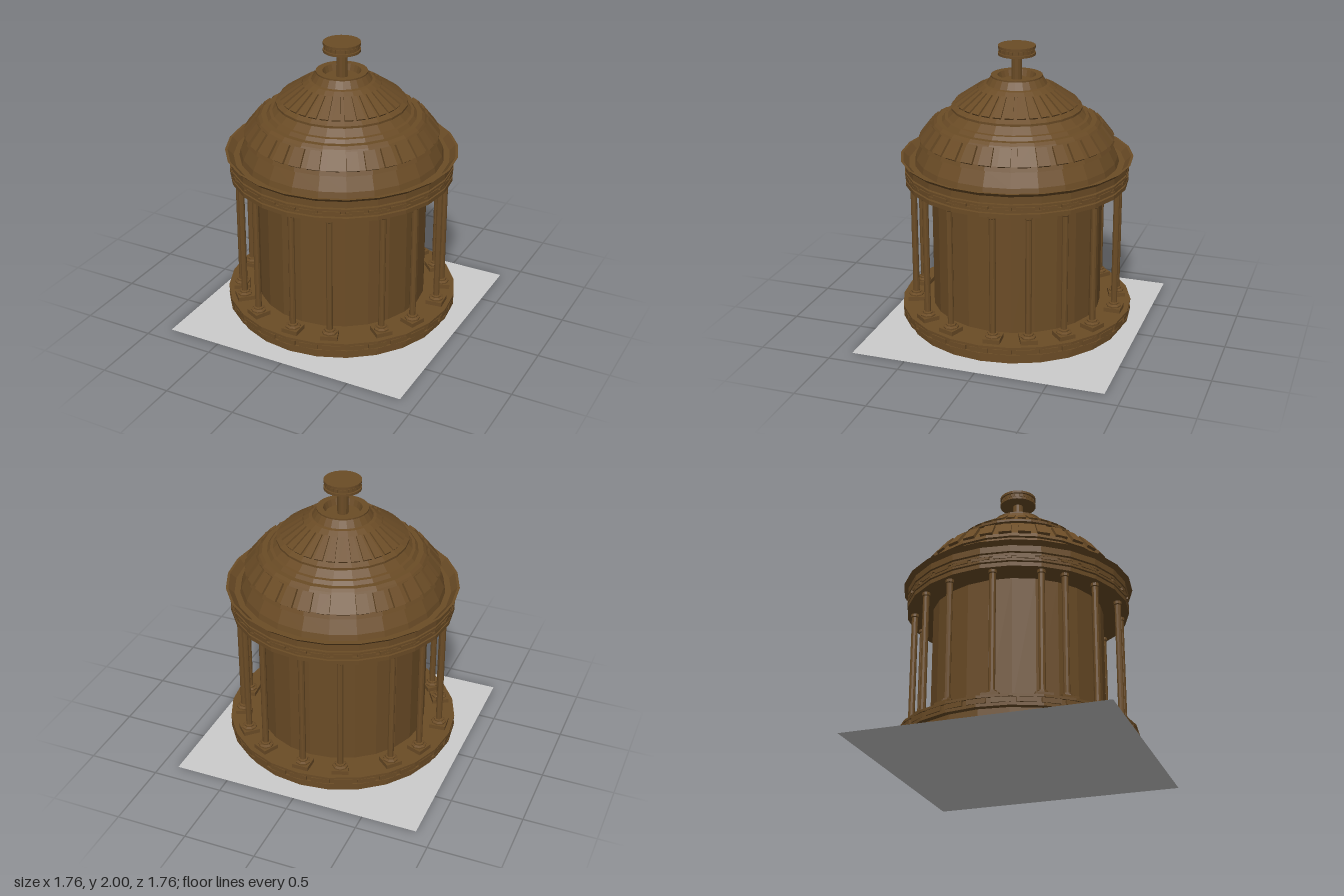
import * as THREE from 'three';

const SIDES = 24;
const wood = new THREE.MeshStandardMaterial({ color: 0x6b4c26, flatShading: true, side: THREE.DoubleSide });
const grey = new THREE.MeshStandardMaterial({ color: 0xcccccc, side: THREE.DoubleSide });

function add(parent, name, geometry, material = wood) {
  const mesh = new THREE.Mesh(geometry, material);
  mesh.name = name;
  parent.add(mesh);
  return mesh;
}

// Turned part from [radius, height] pairs, listed from bottom to top
function turned(parent, name, profile, sides = SIDES) {
  const points = profile.map(([r, y]) => new THREE.Vector2(r, y));
  return add(parent, name, new THREE.LatheGeometry(points, sides));
}

// Ring of tapered panels lying on the slope from [r0, y0] to [r1, y1]
function panelRing(parent, name, count, [r0, y0], [r1, y1], wBottom, wTop, depth) {
  const ring = new THREE.Group();
  ring.name = name + 's';
  const geo = new THREE.BoxGeometry(1, Math.hypot(r1 - r0, y1 - y0), depth);
  const p = geo.attributes.position;
  for (let i = 0; i < p.count; i++) p.setX(i, p.getX(i) * (p.getY(i) > 0 ? wTop : wBottom));
  geo.rotateX(-Math.atan2(r0 - r1, y1 - y0));
  geo.translate(0, (y0 + y1) / 2, (r0 + r1) / 2);
  for (let i = 0; i < count; i++) add(ring, name, geo).rotation.y = (i / count) * Math.PI * 2;
  parent.add(ring);
}

export function createModel() {
  const model = new THREE.Group();
  model.name = 'rotunda';

  // Flat ground sheet
  add(model, 'groundSheet', new THREE.PlaneGeometry(1.765, 1.765).rotateX(-Math.PI / 2), grey);

  // Stepped base with a panelled band
  turned(model, 'base', [
    [0, 0.03], [0.768, 0.03], [0.768, 0.09], [0.808, 0.09], [0.808, 0.11],
    [0.795, 0.11], [0.795, 0.148], [0.808, 0.148], [0.808, 0.165], [0, 0.165],
  ]);
  panelRing(model, 'basePanel', 32, [0.793, 0.113], [0.793, 0.145], 0.125, 0.125, 0.02);

  // Inner drum
  add(model, 'drum', new THREE.CylinderGeometry(0.59, 0.59, 0.9, SIDES, 1, true)).position.y = 0.615;

  // Colonnade, slightly unevenly spaced (degrees from the front)
  const angles = [0, 21, 49.5, 70, 95.5, 114.5, 134.5, 154, 180, 201, 229.5, 250, 275.5, 301, 314, 334];
  const colonnade = new THREE.Group();
  colonnade.name = 'colonnade';
  for (const angle of angles) {
    const column = new THREE.Group();
    column.name = 'column';
    const a = THREE.MathUtils.degToRad(angle);
    column.position.set(Math.sin(a) * 0.712, 0, Math.cos(a) * 0.712);
    column.rotation.y = a;
    add(column, 'plinth', new THREE.BoxGeometry(0.115, 0.03, 0.115)).position.y = 0.18;
    turned(column, 'pedestal', [
      [0.052, 0.195], [0.052, 0.205], [0.035, 0.212], [0.035, 0.222], [0.02, 0.225],
    ], 8);
    turned(column, 'shaft', [
      [0.022, 0.22], [0.022, 1.035], [0.028, 1.04], [0.028, 1.065],
    ], 10);
    colonnade.add(column);
  }
  model.add(colonnade);

  // Entablature: ceiling, grooved bands and flared gutter rim
  turned(model, 'entablature', [
    [0, 1.06], [0.768, 1.06], [0.768, 1.088], [0.745, 1.088], [0.745, 1.1],
    [0.768, 1.1], [0.768, 1.115], [0.758, 1.115], [0.758, 1.137], [0.768, 1.137],
    [0.768, 1.152], [0.745, 1.152], [0.745, 1.165], [0.768, 1.165], [0.768, 1.208],
    [0.797, 1.235], [0.78, 1.235], [0.74, 1.195], [0.67, 1.195],
  ]);
  panelRing(model, 'friezePanel', 32, [0.756, 1.117], [0.756, 1.135], 0.12, 0.12, 0.02);

  // Stepped dome with a hollow crown
  turned(model, 'dome', [
    [0.7, 1.195], [0.69, 1.235], [0.64, 1.335], [0.665, 1.335], [0.652, 1.365],
    [0.565, 1.475], [0.545, 1.492], [0.51, 1.492], [0.49, 1.515], [0.47, 1.518],
    [0.415, 1.57], [0.445, 1.57], [0.445, 1.585], [0.43, 1.595], [0.225, 1.735],
    [0.205, 1.74], [0.175, 1.788], [0.175, 1.798], [0.13, 1.798], [0.115, 1.755], [0, 1.755],
  ]);
  panelRing(model, 'lowerDomePanel', 32, [0.652, 1.362], [0.573, 1.463], 0.085, 0.072, 0.03);
  panelRing(model, 'upperDomeRib', 32, [0.412, 1.607], [0.262, 1.709], 0.058, 0.033, 0.022);

  // Finial: post and grooved, beaded disc
  add(model, 'finialPost', new THREE.CylinderGeometry(0.037, 0.037, 0.19, 12)).position.y = 1.845;
  turned(model, 'finialDisc', [
    [0, 1.935], [0.127, 1.935], [0.127, 1.952], [0.115, 1.952],
    [0.115, 1.983], [0.127, 1.983], [0.127, 2], [0, 2],
  ]);
  panelRing(model, 'finialBead', 24, [0.114, 1.957], [0.114, 1.978], 0.022, 0.022, 0.014);

  return model;
}
